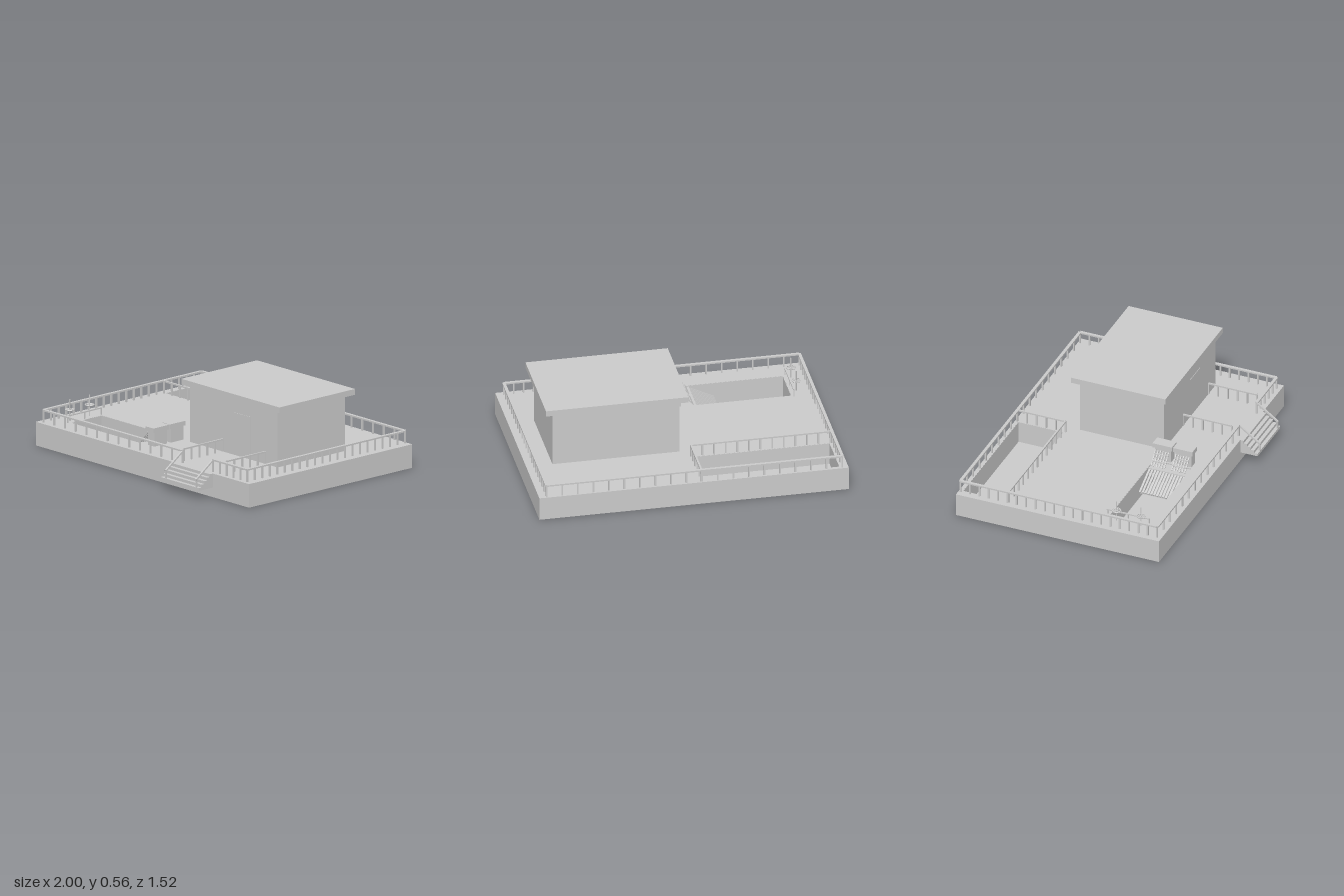
import * as THREE from 'three';

export function createModel() {
  const model = new THREE.Group();
  const mat = new THREE.MeshStandardMaterial({ color: 0xcccccc, flatShading: true, side: THREE.DoubleSide });
  const DECK = 0.155, RAIL = 0.235;

  const group = (name, parent = model) => {
    const g = new THREE.Group();
    g.name = name;
    parent.add(g);
    return g;
  };
  const add = (name, geo, parent = model) => {
    const m = new THREE.Mesh(geo, mat);
    m.name = name;
    parent.add(m);
    return m;
  };
  // Box given by its limits on each axis
  const box = (name, x0, x1, y0, y1, z0, z1, parent) => {
    const m = add(name, new THREE.BoxGeometry(x1 - x0, y1 - y0, z1 - z0), parent);
    m.position.set((x0 + x1) / 2, (y0 + y1) / 2, (z0 + z1) / 2);
    return m;
  };
  // Square bar between two points
  const bar = (name, a, b, w, h, parent) => {
    const p = new THREE.Vector3(...a), q = new THREE.Vector3(...b);
    const m = add(name, new THREE.BoxGeometry(w, h, p.distanceTo(q)), parent);
    m.position.copy(p).lerp(q, 0.5);
    m.lookAt(q);
    return m;
  };
  // Straight fence: top rail on evenly spaced posts
  const fence = (name, x0, z0, x1, z1, gap, width = 0.02) => {
    const g = group(name);
    bar('handrail', [x0, RAIL, z0], [x1, RAIL, z1], width, 0.01, g);
    const n = Math.max(1, Math.round(Math.hypot(x1 - x0, z1 - z0) / gap));
    for (let i = 0; i <= n; i++) {
      const x = x0 + (x1 - x0) * i / n, z = z0 + (z1 - z0) * i / n;
      box('post', x - 0.005, x + 0.005, DECK, RAIL, z - 0.005, z + 0.005, g);
    }
  };

  // Deck slab with openings for the back pit and the front pool
  const pits = { backPit: [-0.945, -0.06, -0.735, -0.425], pool: [-0.83, -0.13, 0.23, 0.49] };
  const rect = (S, x0, x1, z0, z1) => new S([[x0, -z0], [x1, -z0], [x1, -z1], [x0, -z1]].map(p => new THREE.Vector2(...p)));
  const deck = rect(THREE.Shape, -1, 1, -0.76, 0.64);
  for (const p of Object.values(pits)) deck.holes.push(rect(THREE.Path, ...p));
  const deckGeo = new THREE.ExtrudeGeometry(deck, { depth: 0.008, bevelEnabled: false });
  deckGeo.rotateX(-Math.PI / 2).translate(0, DECK - 0.008, 0);
  add('deck', deckGeo);

  // Hollow base walls and the partition underneath
  const t = 0.006;
  const base = group('base');
  box('frontWall', -1, 1, 0, DECK, 0.64 - t, 0.64, base);
  box('backWall', -1, 1, 0, DECK, -0.76, -0.76 + t, base);
  box('leftWall', 1 - t, 1, 0, DECK, -0.76, 0.64, base);
  box('rightWall', -1, -1 + t, 0, DECK, -0.76, 0.64, base);
  box('partition', -0.045, -0.04, 0, DECK - t, -0.75, 0.63, base);

  // Sunken basins
  for (const [name, [x0, x1, z0, z1]] of Object.entries(pits)) {
    const g = group(name);
    box('floor', x0, x1, 0.002, 0.008, z0, z1, g);
    for (const x of [x0, x1]) box('endWall', x - 0.002, x + 0.002, 0.002, DECK - 0.001, z0, z1, g);
    for (const z of [z0, z1]) box('sideWall', x0, x1, 0.002, DECK - 0.001, z - 0.002, z + 0.002, g);
  }

  // House
  const house = group('house');
  box('walls', 0.01, 0.83, DECK, 0.53, -0.34, 0.24, house);
  box('roof', -0.04, 0.88, 0.527, 0.565, -0.38, 0.27, house);
  box('door', 0.42, 0.58, 0.165, 0.435, 0.23, 0.243, house);

  // Front stairs: stepped profile pushed out along x
  const steps = 5, run = 0.12 / steps, rise = (DECK - 0.063) / steps;
  const profile = new THREE.Shape();
  profile.moveTo(0.64, 0.063);
  profile.lineTo(0.64, DECK);
  for (let i = 0; i < steps; i++) {
    profile.lineTo(0.64 + run * (i + 1), DECK - rise * i);
    profile.lineTo(0.64 + run * (i + 1), DECK - rise * (i + 1));
  }
  const stairGeo = new THREE.ExtrudeGeometry(profile, { depth: 0.36, bevelEnabled: false });
  stairGeo.rotateY(-Math.PI / 2).translate(0.66, 0, 0);
  add('frontStairs', stairGeo);

  // Sloping stair rails
  for (const x of [0.345, 0.63]) {
    const g = group('stairRail');
    bar('handrail', [x, RAIL, 0.61], [x, 0.13, 0.757], 0.012, 0.01, g);
    box('endPost', x - 0.005, x + 0.005, 0.065, 0.13, 0.748, 0.758, g);
  }

  // Perimeter, pit and entrance fences
  fence('rightFence', -0.96, -0.745, -0.96, 0.61, 0.065);
  fence('leftFence', 0.95, -0.745, 0.95, 0.61, 0.065);
  fence('backFence', -0.96, -0.745, 0.95, -0.745, 0.1);
  fence('frontFenceLong', -0.96, 0.61, 0.345, 0.61, 0.1);
  fence('frontFenceShort', 0.63, 0.61, 0.95, 0.61, 0.065);
  fence('pitFrontFence', -0.95, -0.415, -0.05, -0.415, 0.075, 0.012);
  fence('pitSideFence', -0.05, -0.745, -0.05, -0.415, 0.065, 0.012);
  for (const x of [0.317, 0.718]) fence('entranceFence', x, 0.24, x, 0.575, 0.065, 0.01);

  // Slatted ramp rising out of the pool
  const ramp = group('poolRamp');
  for (let i = 0; i < 13; i++) {
    const z = 0.24 + i * 0.02;
    bar('slat', [-0.38, 0.06, z], [-0.22, 0.14, z], 0.013, 0.008, ramp);
  }
  for (const x of [-0.37, -0.24]) {
    const y = 0.055 + (x + 0.37) * 0.5;
    box('crossBeam', x - 0.006, x + 0.006, y - 0.005, y + 0.005, 0.235, 0.485, ramp);
  }
  box('landing', -0.22, -0.13, 0.135, 0.147, 0.23, 0.49, ramp);

  // Two counters, each with a slatted back rest facing the pool
  for (const z of [0.287, 0.428]) {
    const g = group('counter');
    box('body', -0.118, -0.06, DECK, 0.25, z - 0.055, z + 0.055, g);
    box('top', -0.13, -0.055, 0.247, 0.277, z - 0.067, z + 0.067, g);
    for (let i = 0; i < 6; i++) {
      const s = z - 0.045 + i * 0.018;
      bar('backSlat', [-0.2, DECK, s], [-0.13, 0.235, s], 0.007, 0.006, g);
    }
    for (const k of [0.3, 0.75]) {
      const x = -0.2 + 0.07 * k, y = DECK + 0.08 * k;
      box('crossSlat', x - 0.004, x + 0.004, y - 0.004, y + 0.004, z - 0.048, z + 0.048, g);
    }
  }

  // Two wheel stands and a grab bar at the far pool end
  for (const z of [0.293, 0.463]) {
    const g = group('wheelStand');
    const pole = add('pole', new THREE.CylinderGeometry(0.004, 0.004, 0.14, 8), g);
    pole.position.set(-0.875, 0.225, z);
    const rim = add('rim', new THREE.TorusGeometry(0.028, 0.004, 6, 16), g);
    rim.rotation.x = Math.PI / 2;
    rim.position.set(-0.875, 0.228, z);
    for (let i = 0; i < 3; i++) {
      const spoke = add('spoke', new THREE.BoxGeometry(0.056, 0.005, 0.006), g);
      spoke.position.copy(rim.position);
      spoke.rotation.y = i * Math.PI / 3;
    }
  }
  const grab = group('grabBar');
  box('bar', -0.85, -0.842, 0.196, 0.204, 0.215, 0.51, grab);
  for (const z of [0.219, 0.362, 0.506]) box('post', -0.849, -0.843, DECK, 0.2, z - 0.004, z + 0.004, grab);

  return model;
}
